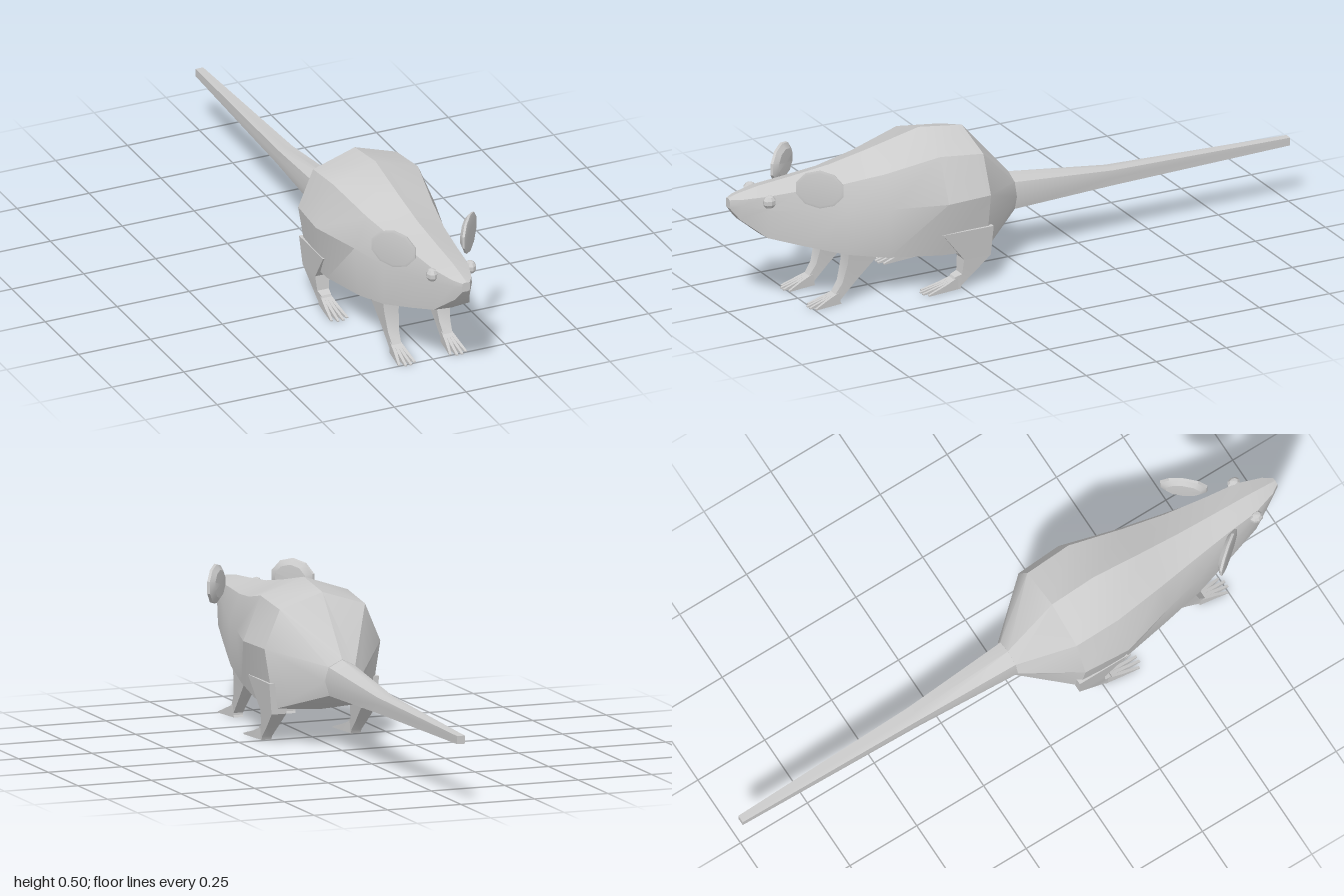
import * as THREE from 'three';
import { toCreasedNormals } from 'three/addons/utils/BufferGeometryUtils.js';

const material = new THREE.MeshStandardMaterial({ color: 0xcccccc });

// Skin equal-length rings; each ring runs clockwise seen from the start end.
function loft(rings, crease = 0.5) {
  const n = rings[0].length;
  const positions = rings.flat(2);
  const index = [];
  for (let i = 0; i < rings.length - 1; i++) {
    for (let j = 0; j < n; j++) {
      const k = (j + 1) % n;
      const a = i * n + j, b = i * n + k, c = a + n, d = b + n;
      index.push(a, b, c, b, d, c);
    }
  }
  // End caps
  [0, rings.length - 1].forEach((r, end) => {
    const centre = positions.length / 3;
    for (let axis = 0; axis < 3; axis++) {
      positions.push(rings[r].reduce((sum, p) => sum + p[axis], 0) / n);
    }
    for (let j = 0; j < n; j++) {
      const a = r * n + j, b = r * n + (j + 1) % n;
      if (end) index.push(centre, a, b);
      else index.push(centre, b, a);
    }
  });
  const geometry = new THREE.BufferGeometry();
  geometry.setAttribute('position', new THREE.Float32BufferAttribute(positions, 3));
  geometry.setIndex(index);
  return toCreasedNormals(geometry, crease);
}

// Symmetric eight-point ring: ridge, shoulder, flank, belly edge, keel
function bodyRing([z, yTop, xs, ys, xw, yw, xb, yb, yKeel]) {
  return [
    [0, yTop, z], [xs, ys, z], [xw, yw, z], [xb, yb, z],
    [0, yKeel, z], [-xb, yb, z], [-xw, yw, z], [-xs, ys, z],
  ];
}

// Level four-point ring for a leg
const legRing = (x, [y, half, zBack, zFront, rise = 0]) => [
  [x - half, y, zBack], [x + half, y, zBack],
  [x + half, y + rise, zFront], [x - half, y + rise, zFront],
];

// Upright four-point ring for a toe
const toeRing = (x, half, yTop, z) => [
  [x + half, yTop, z], [x - half, yTop, z], [x - half, 0, z], [x + half, 0, z],
];

export function createModel() {
  const model = new THREE.Group();
  model.name = 'rodent';
  const add = (name, geometry, parent = model) => {
    const mesh = new THREE.Mesh(geometry, material);
    mesh.name = name;
    parent.add(mesh);
    return mesh;
  };

  // Body from snout to rump
  add('body', loft([
    [1.0, 0.388, 0.012, 0.385, 0.014, 0.372, 0.012, 0.357, 0.355],
    [0.97, 0.397, 0.032, 0.387, 0.034, 0.367, 0.025, 0.318, 0.315],
    [0.89, 0.41, 0.058, 0.392, 0.066, 0.35, 0.062, 0.253, 0.248],
    [0.78, 0.42, 0.07, 0.395, 0.088, 0.33, 0.088, 0.215, 0.208],
    [0.64, 0.435, 0.09, 0.398, 0.125, 0.31, 0.12, 0.17, 0.165],
    [0.5, 0.462, 0.115, 0.415, 0.157, 0.31, 0.14, 0.14, 0.13],
    [0.32, 0.502, 0.148, 0.452, 0.207, 0.31, 0.168, 0.125, 0.108],
    [0.165, 0.48, 0.145, 0.433, 0.197, 0.31, 0.165, 0.115, 0.105],
    [0, 0.292, 0.045, 0.27, 0.06, 0.225, 0.045, 0.178, 0.17],
  ].map(bodyRing)));

  // Long tapering tail
  add('tail', loft([
    [0.01, 0.292, 0.045, 0.27, 0.058, 0.225, 0.045, 0.178, 0.17],
    [-0.36, 0.237, 0.027, 0.235, 0.028, 0.21, 0.027, 0.184, 0.183],
    [-1, 0.22, 0.013, 0.22, 0.013, 0.207, 0.013, 0.194, 0.194],
  ].map(bodyRing), 0.6));

  // Leg sections: height, half width, back z, front z, front rise
  const legs = [
    { name: 'frontLeg', x: 0.089, toeZ: 0.76, ankleZ: 0.665, rings: [
      [0.2, 0.032, 0.48, 0.63], [0.135, 0.025, 0.535, 0.632],
      [0.07, 0.019, 0.6, 0.648], [0.012, 0.016, 0.655, 0.668, 0.028],
      [0, 0.016, 0.65, 0.69],
    ] },
    { name: 'hindLeg', x: 0.152, toeZ: 0.39, ankleZ: 0.275, rings: [
      [0.2, 0.035, 0.15, 0.33], [0.1, 0.025, 0.155, 0.25],
      [0.05, 0.02, 0.21, 0.255], [0.012, 0.017, 0.255, 0.278, 0.03],
      [0, 0.017, 0.26, 0.3],
    ] },
  ];

  for (const side of [1, -1]) {
    const label = side > 0 ? 'left' : 'right';

    // Legs with four fanned toes each
    for (const { name, x, toeZ, ankleZ, rings } of legs) {
      const group = new THREE.Group();
      group.name = `${label} ${name}`;
      model.add(group);
      add('leg', loft(rings.map((r) => legRing(side * x, r))), group);
      for (let t = -1.5; t <= 1.5; t++) {
        const tipZ = toeZ - 0.012 * (Math.abs(t) - 0.5);
        add('toe', loft([
          toeRing(side * x + t * 0.008, 0.0045, 0.042, ankleZ - 0.012),
          toeRing(side * x + t * 0.012, 0.0055, 0.022, ankleZ + 0.04),
          toeRing(side * x + t * 0.018, 0.004, 0.004, tipZ),
        ]), group);
      }
    }

    // Oval ear: shallow dish in front, rounded back
    const earProfile = [[0, -0.014], [0.045, -0.012], [0.062, 0], [0.064, 0.008], [0.056, 0.01], [0, 0.003]]
      .map(([r, h]) => new THREE.Vector2(r, h));
    const earShape = new THREE.LatheGeometry(earProfile, 10);
    earShape.rotateX(Math.PI / 2);
    earShape.scale(1.25, 1, 1);
    const ear = add(`${label} ear`, toCreasedNormals(earShape, 0.5));
    ear.position.set(side * 0.128, 0.416, 0.738);
    ear.rotation.y = side * 0.89;

    // Bead eye
    const eye = add(`${label} eye`, toCreasedNormals(new THREE.SphereGeometry(0.022, 8, 5), 0.5));
    eye.position.set(side * 0.067, 0.377, 0.887);
    eye.scale.set(0.85, 1, 1.05);
  }

  return model;
}
